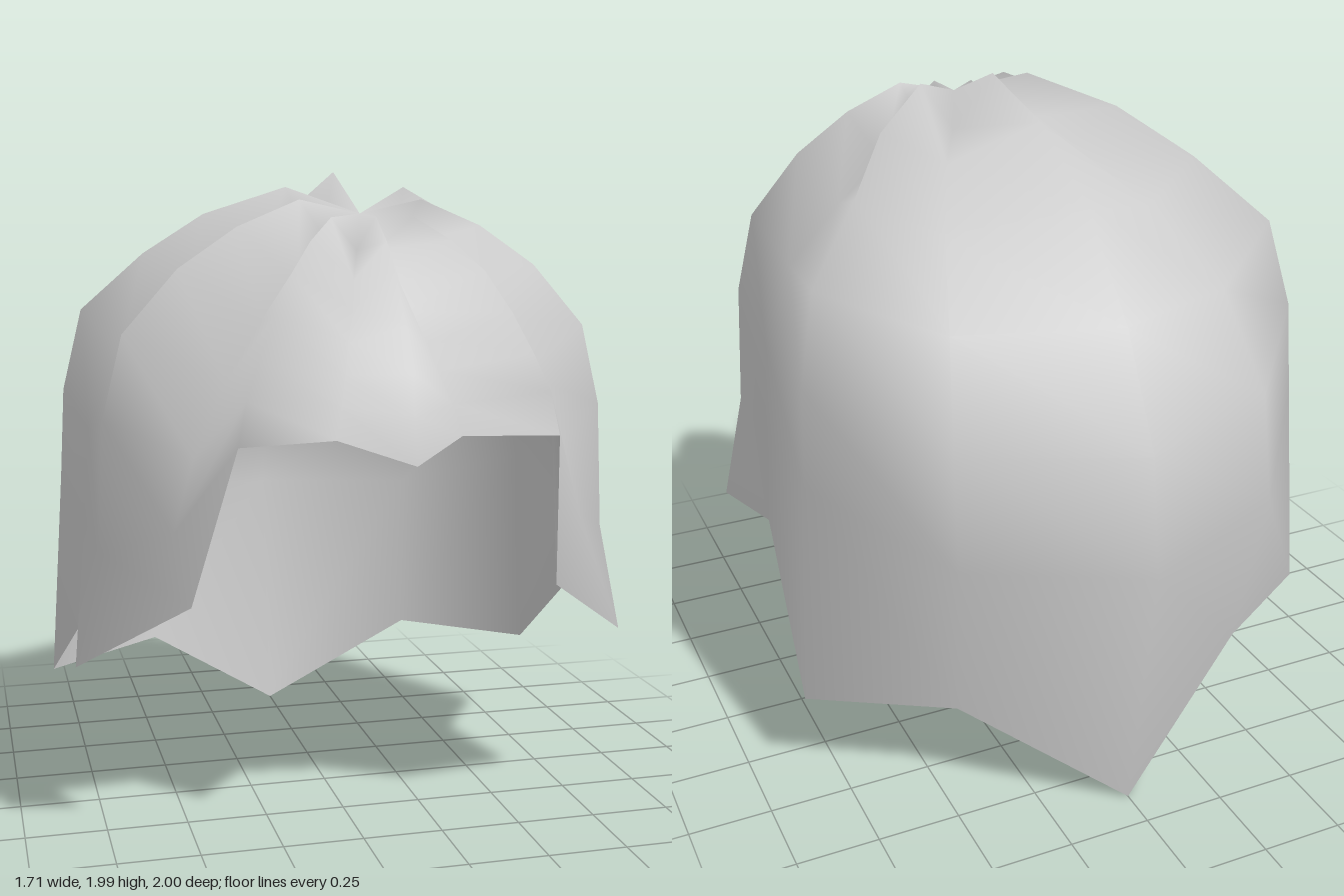
import * as THREE from 'three';

// Locks of the left half, front to back; each runs from the crown to the hem.
// Raised locks alternate with sunken creases.
const CROWN = [0, 1.87, 0.42];
const frontLock = [[0, 1.865, 0.59], [0, 1.8, 0.7], [0, 1.72, 0.78], [0, 1.59, 0.88], [0, 1.47, 0.95], [0, 1.36, 0.975], [0, 1.235, 1]];
const backLock = [[0, 1.99, 0.11], [0, 1.92, -0.23], [0, 1.75, -0.54], [0, 1.49, -0.78], [0, 1.18, -0.95], [0, 0.83, -1], [0, 0, -0.88]];
const fringeCrease = [[0.03, 1.77, 0.5], [0.06, 1.69, 0.58], [0.08, 1.61, 0.65], [0.11, 1.53, 0.71], [0.13, 1.45, 0.76], [0.155, 1.37, 0.81], [0.175, 1.285, 0.845]];
const fringeLock = [[0.12, 1.862, 0.56], [0.2, 1.8, 0.65], [0.27, 1.72, 0.73], [0.33, 1.61, 0.79], [0.38, 1.5, 0.83], [0.42, 1.4, 0.86], [0.445, 1.28, 0.87]];
const templeCrease = [[0.09, 1.77, 0.46], [0.2, 1.68, 0.51], [0.32, 1.58, 0.56], [0.43, 1.42, 0.61], [0.53, 1.22, 0.66], [0.59, 1.02, 0.68], [0.54, 0.8, 0.65]];
const sideLock = [[0.18, 1.91, 0.43], [0.36, 1.835, 0.43], [0.53, 1.72, 0.43], [0.69, 1.54, 0.43], [0.75, 1.3, 0.43], [0.77, 0.92, 0.43], [0.845, 0.585, 0.43]];
const sideCrease = [[0.13, 1.78, 0.37], [0.29, 1.7, 0.31], [0.47, 1.61, 0.22], [0.66, 1.46, 0.14], [0.76, 1.23, 0.1], [0.78, 0.95, 0.1], [0.79, 0.635, 0.1]];
const rearLock = [[0.18, 1.945, 0.25], [0.39, 1.865, 0.04], [0.55, 1.74, -0.17], [0.735, 1.555, -0.33], [0.795, 1.29, -0.38], [0.81, 1, -0.4], [0.855, 0.315, -0.43]];
const rearCrease = [[0.07, 1.79, 0.26], [0.2, 1.76, 0], [0.33, 1.65, -0.3], [0.43, 1.46, -0.57], [0.49, 1.18, -0.73], [0.5, 0.85, -0.78], [0.47, 0.33, -0.68]];

function hairGeometry() {
  const half = [fringeCrease, fringeLock, templeCrease, sideLock, sideCrease, rearLock, rearCrease];
  const mirrored = half.map(s => s.map(([x, y, z]) => [-x, y, z])).reverse();
  const spokes = [frontLock, ...half, backLock, ...mirrored];
  const n = spokes.length, rows = frontLock.length;
  const index = [];
  for (let j = 0; j < n; j++) {
    const a = 1 + j * rows, b = 1 + ((j + 1) % n) * rows;
    index.push(0, a, b); // fan at the crown
    for (let i = 0; i < rows - 1; i++) {
      index.push(a + i, a + i + 1, b + i + 1, a + i, b + i + 1, b + i);
    }
  }
  const geometry = new THREE.BufferGeometry();
  geometry.setAttribute('position', new THREE.Float32BufferAttribute([CROWN, ...spokes.flat()].flat(), 3));
  geometry.setIndex(index);
  geometry.computeVertexNormals();
  return geometry;
}

export function createModel() {
  const model = new THREE.Group();
  model.name = 'hairpiece';
  const lightGrey = new THREE.MeshStandardMaterial({ color: 0xcccccc, side: THREE.DoubleSide });
  lightGrey.name = 'light grey';
  // Open shell of hair
  const hair = new THREE.Mesh(hairGeometry(), lightGrey);
  hair.name = 'hair';
  model.add(hair);
  return model;
}
